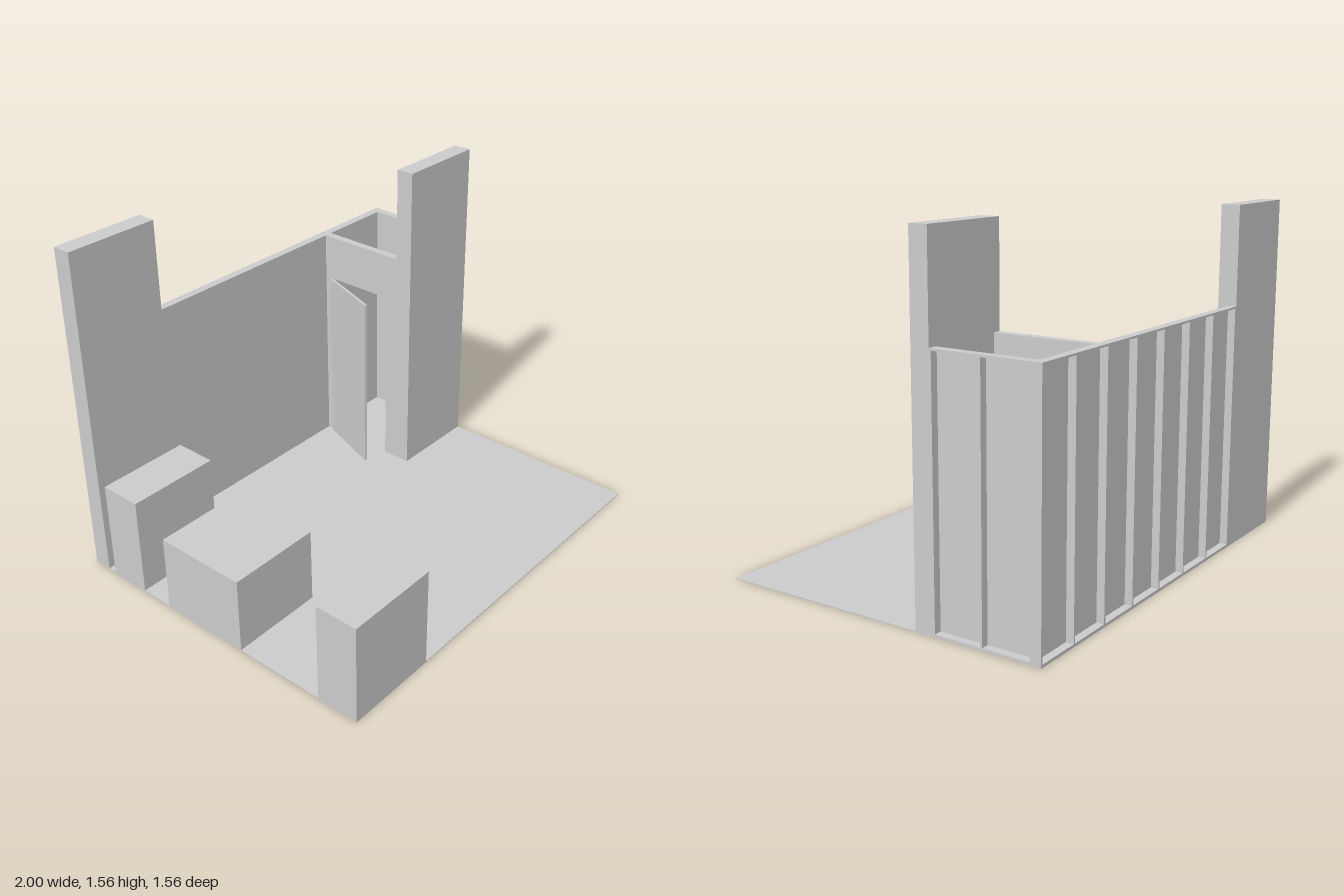
import * as THREE from 'three';

const material = new THREE.MeshStandardMaterial({ color: 0xcccccc, flatShading: true });

// Box given by its minimum and maximum along each axis
function box(parent, name, [x0, x1], [y0, y1], [z0, z1]) {
  const mesh = new THREE.Mesh(new THREE.BoxGeometry(x1 - x0, y1 - y0, z1 - z0), material);
  mesh.position.set((x0 + x1) / 2, (y0 + y1) / 2, (z0 + z1) / 2);
  mesh.name = name;
  parent.add(mesh);
  return mesh;
}

const FLOOR = 0.004;
const WALL_TOP = 1.115;
const TOWER_TOP = 1.56;
const DEPTH = 0.04;  // wall thickness
const STUD = 0.009;  // stud and plate thickness
const SHEET = 0.005; // inner panel thickness

// Stud wall along local x from 0 to length; panel on +z, open framing on -z
function studWall(name, length, bays) {
  const wall = new THREE.Group();
  wall.name = name;
  const frameZ = [0, DEPTH - SHEET];
  box(wall, 'panel', [0, length], [FLOOR, WALL_TOP], [DEPTH - SHEET, DEPTH]);
  box(wall, 'bottomPlate', [0, length], [FLOOR, FLOOR + STUD], frameZ);
  box(wall, 'topPlate', [0, length], [WALL_TOP - STUD, WALL_TOP], frameZ);
  for (let i = 0; i <= bays; i++) {
    const x = (length - STUD) * i / bays;
    box(wall, 'stud', [x, x + STUD], [FLOOR + STUD, WALL_TOP - STUD], frameZ);
  }
  return wall;
}

export function createModel() {
  const model = new THREE.Group();
  model.name = 'room';

  box(model, 'floor', [-1, 1], [0, FLOOR], [-0.78, 0.78]);

  // Tall slabs at the back right corner and in front of the closet
  box(model, 'backTower', [-1, -0.56], [FLOOR, TOWER_TOP], [-0.78, -0.693]);
  box(model, 'closetTower', [0.557, 1], [FLOOR, TOWER_TOP], [-0.29, -0.205]);

  // Framed back wall and closet side wall, framing outward
  const backWall = studWall('backWall', 1.56, 7);
  backWall.position.set(-0.56, 0, -0.78);
  model.add(backWall);
  const sideWall = studWall('sideWall', 0.45, 2);
  sideWall.rotation.y = -Math.PI / 2;
  sideWall.position.set(1, 0, -0.74);
  model.add(sideWall);

  // Closet partition with a doorway
  const partition = new THREE.Group();
  partition.name = 'closetPartition';
  const px = [0.557, 0.595];
  box(partition, 'hingeJamb', px, [FLOOR, WALL_TOP], [-0.74, -0.69]);
  box(partition, 'latchJamb', px, [FLOOR, WALL_TOP], [-0.35, -0.29]);
  box(partition, 'header', px, [0.893, WALL_TOP], [-0.69, -0.35]);
  model.add(partition);

  // Door leaf swung open into the room
  const door = new THREE.Group();
  door.name = 'door';
  box(door, 'doorLeaf', [-0.014, 0], [FLOOR, 0.893], [0, 0.344]);
  door.position.set(0.557, 0, -0.695);
  door.rotation.y = -0.355;
  model.add(door);

  // Row of low blocks along the right side
  const blocks = [
    ['frontCabinet', 0.47, 0.58, 0.78],
    ['middleBench', 0.36, -0.29, 0.15],
    ['rearCabinet', 0.47, -0.65, -0.45],
  ];
  for (const [name, height, z0, z1] of blocks) {
    box(model, name, [-1, -0.56], [FLOOR, height], [z0, z1]);
  }

  return model;
}
